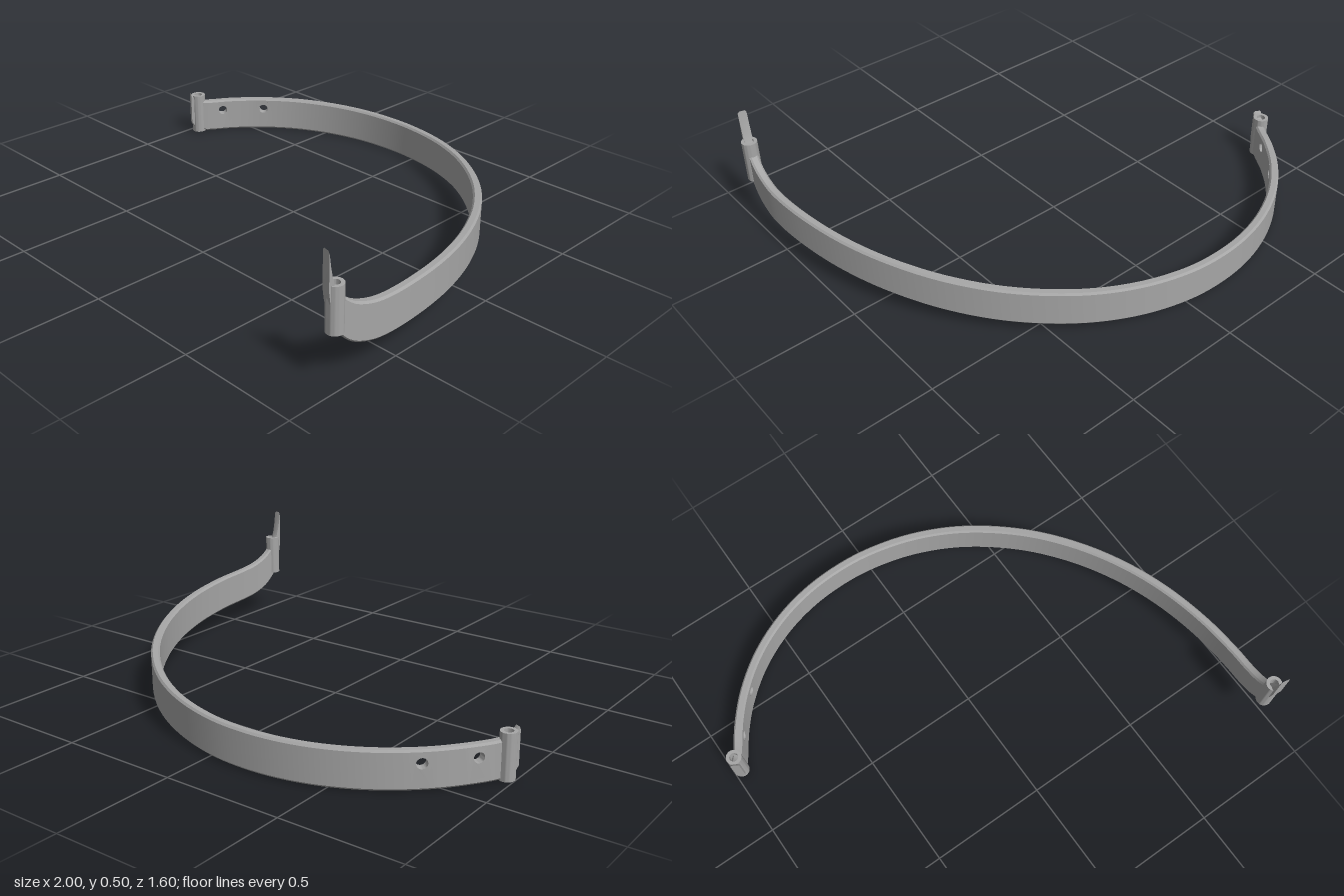
import * as THREE from 'three';
import { mergeGeometries, toCreasedNormals } from 'three/addons/utils/BufferGeometryUtils.js';

const HEIGHT = 0.153, THICK = 0.036, RIM = 0.008;

// lower edge of the band, from its low end round to its raised tip
const path = new THREE.CatmullRomCurve3([
  [-0.983, 0.042, -0.262], [-0.972, 0.015, -0.282], [-0.945, 0.003, -0.316],
  [-0.88, 0.002, -0.415], [-0.78, 0.002, -0.532], [-0.64, 0.002, -0.644],
  [-0.48, 0.002, -0.724], [-0.32, 0.003, -0.768], [-0.16, 0.005, -0.782],
  [0, 0.009, -0.77], [0.2, 0.018, -0.716], [0.4, 0.03, -0.613],
  [0.6, 0.045, -0.445], [0.75, 0.06, -0.254], [0.86, 0.075, -0.046],
  [0.93, 0.086, 0.159], [0.97, 0.095, 0.373], [0.981, 0.102, 0.55],
  [0.977, 0.114, 0.63], [0.97, 0.145, 0.705], [0.962, 0.205, 0.762],
  [0.956, 0.285, 0.787], [0.954, 0.352, 0.797],
].map((p) => new THREE.Vector3(...p)));
path.arcLengthDivisions = 800;
const LENGTH = path.getLength();

// bend flat geometry: x runs along the path, y up, z across the thickness
function bend(geometry) {
  const pos = geometry.attributes.position;
  for (let i = 0; i < pos.count; i++) {
    const u = THREE.MathUtils.clamp(pos.getX(i) / LENGTH, 0, 1);
    const p = path.getPointAt(u);
    const t = path.getTangentAt(u).setY(0).normalize();
    const d = pos.getZ(i);
    pos.setXYZ(i, p.x - t.z * d, p.y + pos.getY(i), p.z + t.x * d);
  }
  return geometry;
}

// one short slice of the band, with an optional round hole
function slice(s0, s1, hole) {
  const shape = new THREE.Shape();
  shape.moveTo(s0, RIM).lineTo(s1, RIM).lineTo(s1, HEIGHT - RIM).lineTo(s0, HEIGHT - RIM);
  if (hole) shape.holes.push(new THREE.Path().absarc((s0 + s1) / 2, 0.102, 0.021, 0, Math.PI * 2, true));
  const g = new THREE.ExtrudeGeometry(shape, { depth: THICK, bevelEnabled: false, curveSegments: 16 });
  return g.translate(0, 0, -THICK / 2);
}

function bandGeometry() {
  const count = Math.round(LENGTH / 0.0677), w = LENGTH / count;
  const parts = [];
  for (let k = 0; k < count; k++) {
    const hole = k === 2 || k === 5;
    const n = hole ? 1 : 3;
    for (let j = 0; j < n; j++) parts.push(slice((k + j / n) * w, (k + (j + 1) / n) * w, hole));
  }
  return toCreasedNormals(bend(mergeGeometries(parts)), 0.6);
}

// chamfered strip along the upper (side 1) or lower (side -1) edge
function rimGeometry(side) {
  const g = new THREE.BoxGeometry(LENGTH, RIM, THICK, 150, 1, 1);
  const pos = g.attributes.position;
  for (let i = 0; i < pos.count; i++) {
    if (pos.getY(i) * side > 0) pos.setZ(i, pos.getZ(i) * 0.6);
  }
  g.translate(LENGTH / 2, side > 0 ? HEIGHT - RIM / 2 : RIM / 2, 0);
  return toCreasedNormals(bend(g), 0.6);
}

// hollow upright sleeve
function sleeveGeometry(height) {
  const ring = new THREE.Shape().absarc(0, 0, 0.032, 0, Math.PI * 2, false);
  ring.holes.push(new THREE.Path().absarc(0, 0, 0.018, 0, Math.PI * 2, true));
  const g = new THREE.ExtrudeGeometry(ring, { depth: height, bevelEnabled: false, curveSegments: 28 });
  return toCreasedNormals(g.rotateX(-Math.PI / 2), 0.6);
}

export function createModel() {
  const model = new THREE.Group();
  model.name = 'curvedBand';
  const metal = new THREE.MeshStandardMaterial({ color: 0xa6a6a6 });
  metal.name = 'grey metal';

  const add = (name, geometry, x = 0, y = 0, z = 0) => {
    const mesh = new THREE.Mesh(geometry, metal);
    mesh.name = name;
    mesh.position.set(x, y, z);
    model.add(mesh);
  };

  add('band', bandGeometry());
  add('upperRim', rimGeometry(1));
  add('lowerRim', rimGeometry(-1));
  add('rightSleeve', sleeveGeometry(0.185), -0.967, 0, -0.297);
  add('leftSleeve', sleeveGeometry(0.18), 0.962, 0.2, 0.763);
  return model;
}
